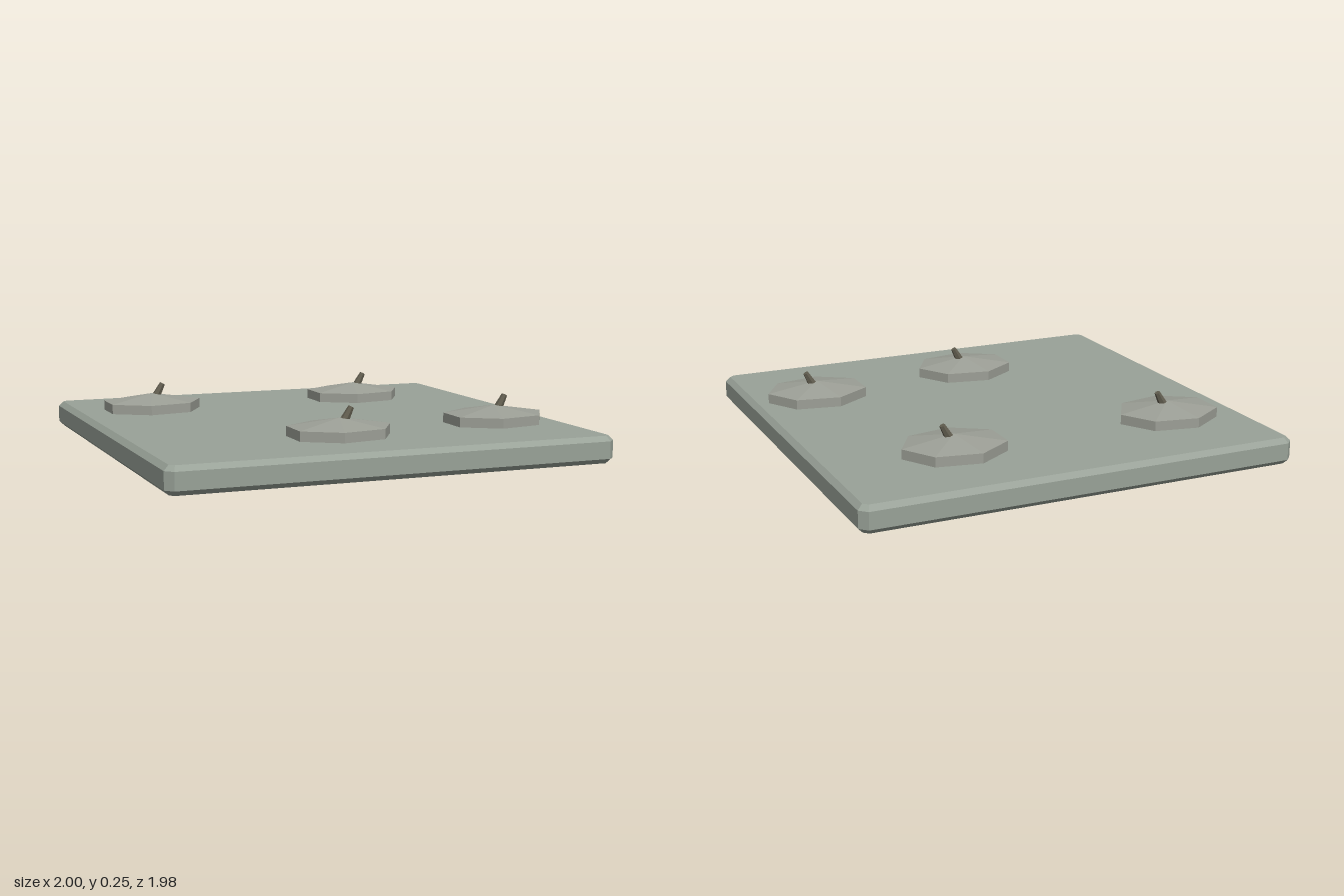
import * as THREE from 'three';

const stone = new THREE.MeshStandardMaterial({ color: 0x99a298 });
stone.name = 'slab grey green';
const pale = new THREE.MeshStandardMaterial({ color: 0x9c9f96 });
pale.name = 'pad pale grey';
const dark = new THREE.MeshStandardMaterial({ color: 0x625e50 });
dark.name = 'stem dark brown';

// Faceted normals
function facet(geometry) {
  const g = geometry.index ? geometry.toNonIndexed() : geometry;
  g.computeVertexNormals();
  return g;
}

function addMesh(parent, name, geometry, material) {
  const mesh = new THREE.Mesh(geometry, material);
  mesh.name = name;
  parent.add(mesh);
  return mesh;
}

// Square slab with bevelled edges and clipped corners
function slabGeometry(width, depth, height, bevel, clip) {
  const x = width / 2 - bevel, z = depth / 2 - bevel;
  const outline = new THREE.Shape([
    [x, -z + clip], [x, z - clip], [x - clip, z], [-x + clip, z],
    [-x, z - clip], [-x, -z + clip], [-x + clip, -z], [x - clip, -z],
  ].map(([a, b]) => new THREE.Vector2(a, b)));
  const g = new THREE.ExtrudeGeometry(outline, {
    depth: height - 2 * bevel, bevelEnabled: true,
    bevelSize: bevel, bevelThickness: bevel, bevelSegments: 1,
  });
  g.rotateX(-Math.PI / 2);
  g.translate(0, bevel, 0);
  return facet(g);
}

export function createModel() {
  const model = new THREE.Group();
  model.name = 'slabWithPads';
  const top = 0.12;

  addMesh(model, 'slab', slabGeometry(2, 1.98, top, 0.022, 0.02), stone);

  // Seven-sided pad: short rim and shallow cone, squashed front to back
  const profile = [[0.237, -0.005], [0.237, 0.044], [0, 0.08]].map(([r, y]) => new THREE.Vector2(r, y));
  const padGeometry = new THREE.LatheGeometry(profile, 7);
  padGeometry.rotateY(Math.PI / 2);
  padGeometry.scale(1, 1, 0.81);
  const pad = facet(padGeometry);

  // Tapered stem leaning towards +x
  const stemGeometry = new THREE.CylinderGeometry(0.013, 0.022, 0.08, 6);
  stemGeometry.rotateZ(-0.5);
  stemGeometry.translate(0.034, 0.089, 0);
  const stem = facet(stemGeometry);

  for (const [x, z] of [[-0.642, -0.51], [0.418, -0.54], [-0.107, 0.555], [0.693, 0.45]]) {
    const group = new THREE.Group();
    group.name = 'padWithStem';
    group.position.set(x, top, z);
    addMesh(group, 'pad', pad, pale);
    addMesh(group, 'stem', stem, dark);
    model.add(group);
  }
  return model;
}
